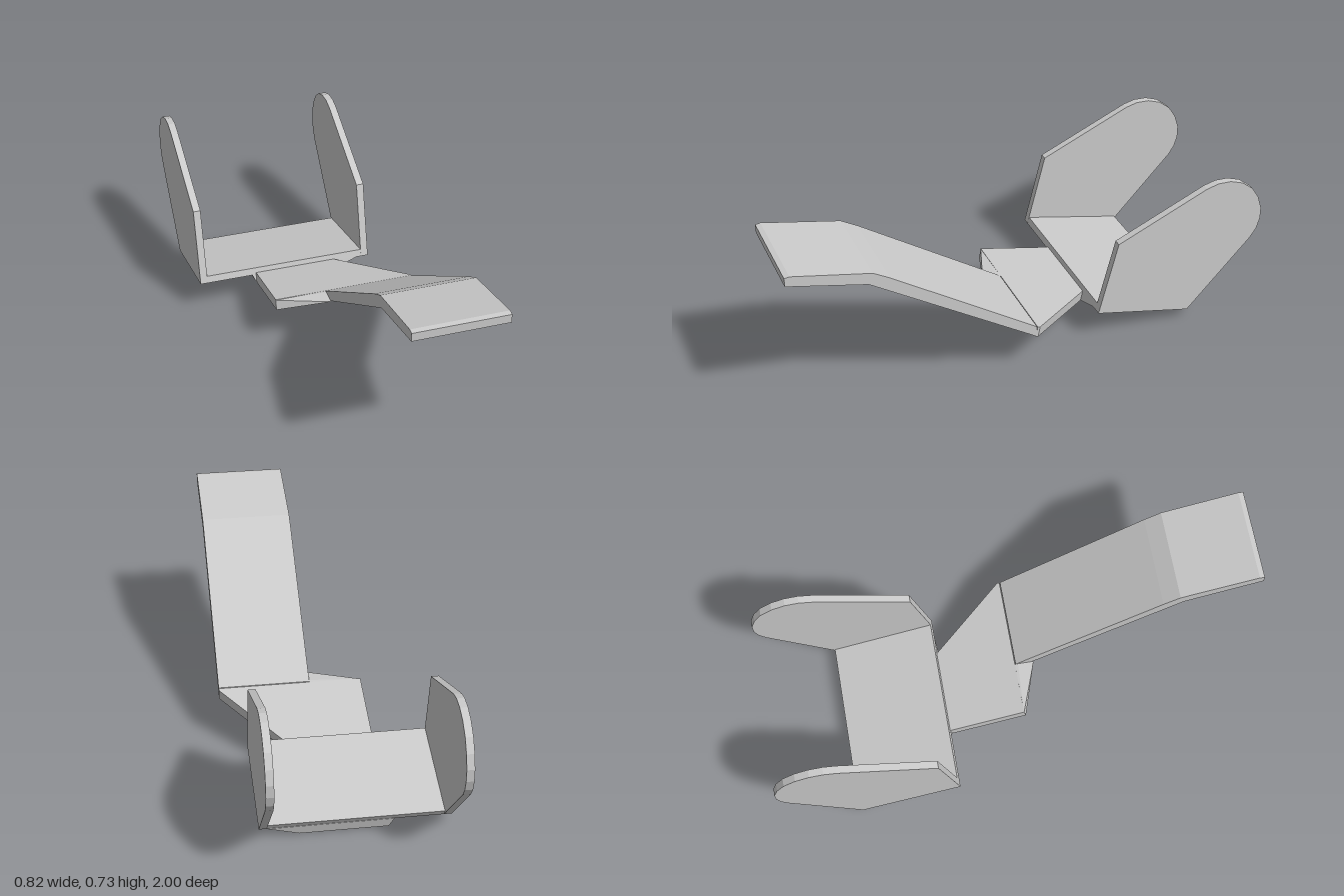
import * as THREE from 'three';
import { ConvexGeometry } from 'three/addons/geometries/ConvexGeometry.js';

const material = new THREE.MeshStandardMaterial({ color: 0xcccccc, flatShading: true });

function addMesh(group, name, geometry) {
  const mesh = new THREE.Mesh(geometry, material);
  mesh.name = name;
  group.add(mesh);
}

// Side profile given as [z, y] pairs, extruded from x0 to x1
function sideExtrude(points, x0, x1) {
  const shape = new THREE.Shape(points.map(([z, y]) => new THREE.Vector2(-z, y)));
  const geometry = new THREE.ExtrudeGeometry(shape, { depth: x1 - x0, bevelEnabled: false });
  return geometry.rotateY(Math.PI / 2).translate(x0, 0, 0);
}

// Faceted solid spanned by its corners
const solid = (corners) => new ConvexGeometry(corners.map((c) => new THREE.Vector3(...c)));

// Underside of the tilted strap at depth z
const strapY = (z) => 0.169 + 0.245 * z;

export function createModel() {
  const group = new THREE.Group();

  // Sloping arm with the bent foot pad at its end
  addMesh(group, 'pedalArm', sideExtrude([
    [0.025, 0.175], [0.692, 0.613], [1, 0.69], [1, 0.725], [0.98, 0.728],
    [0.675, 0.658], [0.61, 0.619], [0.025, 0.222],
  ], 0.04, 0.41));

  // Strap narrowing from the arm to the bracket
  const outline = [[-0.17, -0.28], [0.17, -0.28], [0.41, 0.02], [0.41, 0.03], [-0.17, 0.03]];
  addMesh(group, 'strap', solid(outline.flatMap(([x, z]) => [
    [x, strapY(z), z], [x, strapY(z) + 0.044, z - 0.008],
  ])));

  // Triangular gusset beside the arm
  addMesh(group, 'gusset', solid([
    [-0.17, 0.175, 0.03], [0.04, 0.22, 0.1], [0.04, 0.175, 0.03],
    [-0.17, 0.218, 0.022], [0.04, 0.222, 0.035], [0.04, 0.22, 0.022],
  ]));

  // Strap continuing beneath the bracket, with chamfered sides
  addMesh(group, 'underPlate', solid([
    [-0.17, 0.101, -0.276], [0.17, 0.101, -0.276], [-0.17, 0, -0.682], [0.17, 0, -0.682],
    [-0.19, 0.142, -0.286], [0.295, 0.142, -0.286], [-0.19, 0.041, -0.692], [0.295, 0.041, -0.692],
  ]));

  // Bracket floor
  addMesh(group, 'bracketFloor', sideExtrude([
    [-0.283, 0.137], [-0.291, 0.166], [-0.705, 0.066], [-0.69, 0.04],
  ], -0.4, 0.315));

  // Pair of upright side flanges with rounded tops
  const flange = [
    [-0.283, 0.137], [-0.36, 0.45], [-0.74, 0.613], [-0.79, 0.625], [-0.845, 0.622],
    [-0.9, 0.602], [-0.948, 0.565], [-0.98, 0.515], [-0.998, 0.46], [-0.998, 0.41],
    [-0.985, 0.365], [-0.96, 0.327], [-0.69, 0.04],
  ];
  for (const [name, x] of [['rightFlange', -0.41], ['leftFlange', 0.295]]) {
    addMesh(group, name, sideExtrude(flange, x, x + 0.03));
  }
  return group;
}
